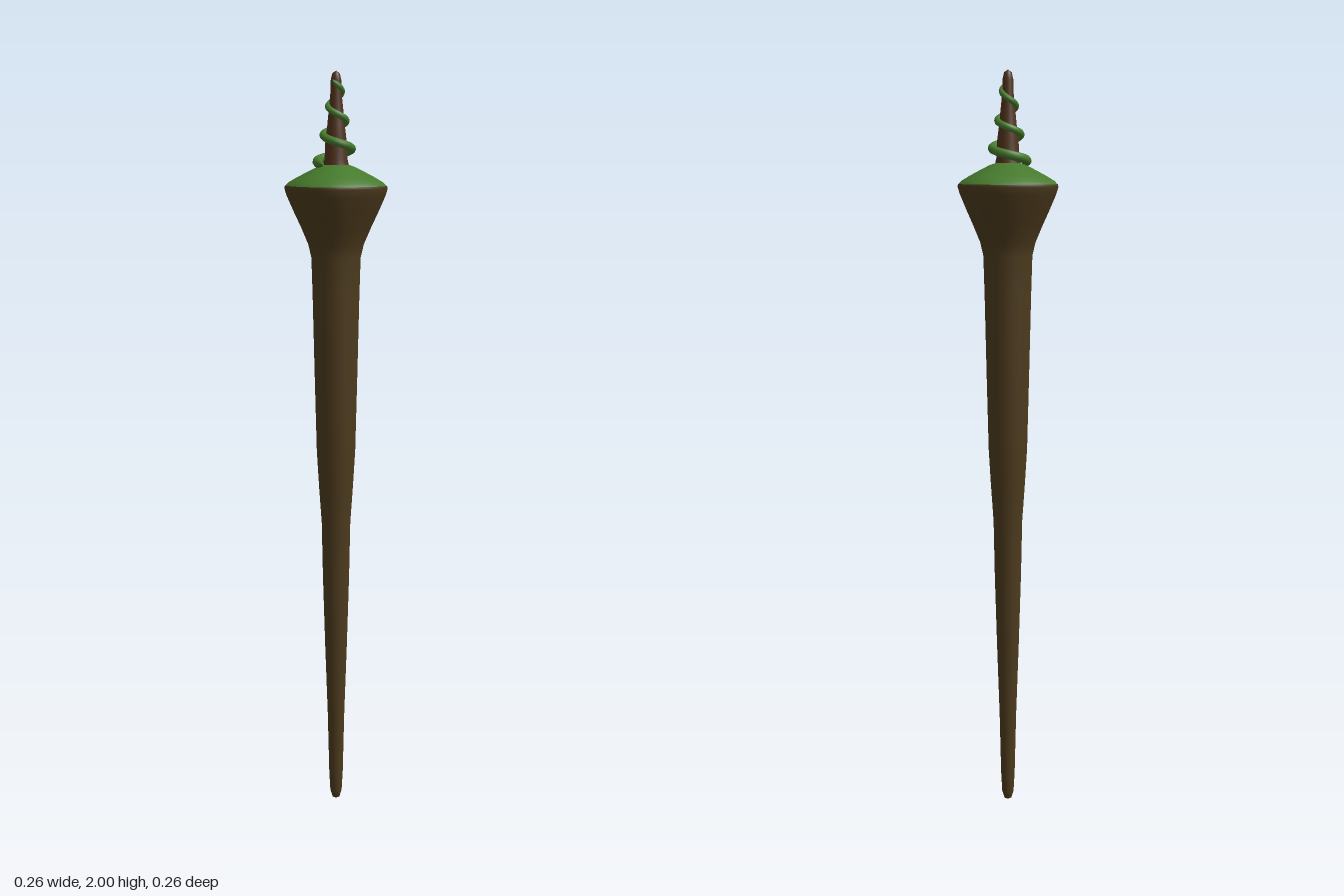
import * as THREE from 'three';

const material = (color) => new THREE.MeshStandardMaterial({ color });

// Lathe with a slightly squared, uneven outline that fades out on thin sections
function unevenLathe(name, profile, color) {
  const geo = new THREE.LatheGeometry(profile.map(([r, y]) => new THREE.Vector2(r, y)), 32);
  const p = geo.attributes.position;
  for (let i = 0; i < p.count; i++) {
    const x = p.getX(i), z = p.getZ(i);
    const r = Math.hypot(x, z), a = Math.atan2(z, x);
    const amount = THREE.MathUtils.smoothstep(r, 0.05, 0.13);
    const k = 1 + amount * (0.03 * (1 - Math.cos(4 * a)) + 0.006 * Math.sin(7 * a));
    p.setX(i, x * k);
    p.setZ(i, z * k);
  }
  geo.computeVertexNormals();
  // Share normals across the lathe seam
  const n = geo.attributes.normal, m = profile.length, v = new THREE.Vector3(), w = new THREE.Vector3();
  for (let i = 0; i < m; i++) {
    const j = p.count - m + i;
    v.fromBufferAttribute(n, i).add(w.fromBufferAttribute(n, j)).normalize();
    n.setXYZ(i, v.x, v.y, v.z);
    n.setXYZ(j, v.x, v.y, v.z);
  }
  const mesh = new THREE.Mesh(geo, material(color));
  mesh.name = name;
  return mesh;
}

// Path winding up around the spire, tightening as it climbs
class VineCurve extends THREE.Curve {
  getPoint(t, target = new THREE.Vector3()) {
    const turn = 3 * t;
    const a = Math.PI - 0.35 + turn * Math.PI * 2;
    const r = 0.014 + 0.037 * Math.pow(1 - t, 1.4);
    return target.set(r * Math.cos(a), 1.762 + 0.02 * turn + 0.155 * Math.pow(t, 1.1), r * Math.sin(a));
  }
}

// Tapered tube with rounded ends
function createVine() {
  const curve = new VineCurve(), rings = 150, sides = 10;
  const geo = new THREE.TubeGeometry(curve, rings, 1, sides);
  const p = geo.attributes.position, v = new THREE.Vector3();
  for (let i = 0; i <= rings; i++) {
    const t = i / rings, c = curve.getPointAt(t);
    const end = Math.sqrt(Math.min(1, t / 0.03, (1 - t) / 0.03));
    const radius = THREE.MathUtils.lerp(0.013, 0.007, t) * end;
    for (let j = 0; j <= sides; j++) {
      const k = i * (sides + 1) + j;
      v.fromBufferAttribute(p, k).sub(c).multiplyScalar(radius).add(c);
      p.setXYZ(k, v.x, v.y, v.z);
    }
  }
  const mesh = new THREE.Mesh(geo, material(0x467a2c));
  mesh.name = 'spiralVine';
  return mesh;
}

export function createModel() {
  const group = new THREE.Group();
  group.name = 'spindle';

  // Long tapering root, flaring out to the rim
  group.add(unevenLathe('root', [
    [0, 0], [0.01, 0.005], [0.016, 0.025], [0.019, 0.08], [0.023, 0.25], [0.03, 0.45],
    [0.036, 0.65], [0.039, 0.8], [0.046, 0.9], [0.052, 1.0], [0.057, 1.2], [0.062, 1.42],
    [0.065, 1.52], [0.073, 1.555], [0.091, 1.6], [0.108, 1.64], [0.124, 1.68], [0.13, 1.7], [0.128, 1.707],
  ], 0x4c3a1d));

  // Green crown on top
  group.add(unevenLathe('crown', [
    [0.128, 1.706], [0.12, 1.715], [0.1, 1.728], [0.075, 1.742], [0.05, 1.755], [0.03, 1.762], [0, 1.765],
  ], 0x467a2c));

  // Narrow spire
  group.add(unevenLathe('spire', [
    [0.036, 1.75], [0.03, 1.775], [0.028, 1.82], [0.023, 1.86], [0.019, 1.9],
    [0.015, 1.94], [0.014, 1.975], [0.01, 1.993], [0, 2],
  ], 0x50321d));

  group.add(createVine());
  return group;
}
